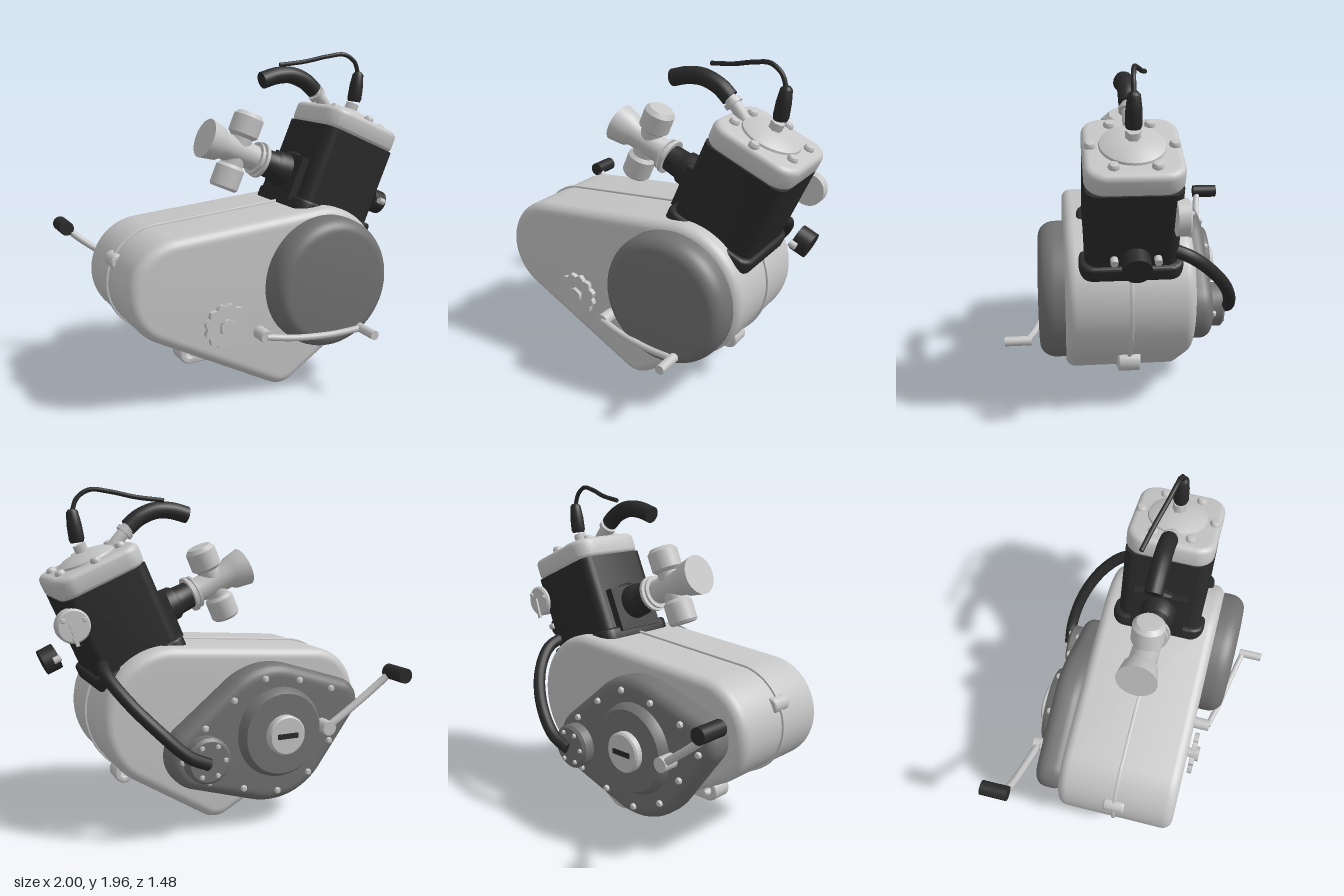
import * as THREE from 'three';
import { toCreasedNormals } from 'three/addons/utils/BufferGeometryUtils.js';

const mat = (name, color) => Object.assign(new THREE.MeshStandardMaterial({ color }), { name });
const V = (a) => new THREE.Vector3(...a);

// Outline wrapped around circles [x, y, r]
function hull(circles, grow = 0, n = 96) {
  const pts = [];
  for (let i = 0; i < n; i++) {
    const t = (i / n) * Math.PI * 2, c = Math.cos(t), s = Math.sin(t);
    let best = null, max = -Infinity;
    for (const k of circles) {
      const d = k[0] * c + k[1] * s + k[2];
      if (d > max) { max = d; best = k; }
    }
    const r = best[2] + grow;
    pts.push(new THREE.Vector2(best[0] + r * c, best[1] + r * s));
  }
  return pts;
}

// Slab from z0 to z1 with rounded rims
function slab(circles, z0, z1, bevel, hole) {
  const shape = new THREE.Shape(hull(circles, -bevel));
  if (hole) shape.holes.push(new THREE.Path().absarc(hole[0], hole[1], hole[2], 0, Math.PI * 2, true));
  const g = new THREE.ExtrudeGeometry(shape, {
    depth: z1 - z0 - 2 * bevel, bevelEnabled: bevel > 0, bevelSize: bevel,
    bevelThickness: bevel, bevelSegments: 6, curveSegments: 20,
  });
  g.translate(0, 0, z0 + bevel);
  return toCreasedNormals(g, 0.6);
}

// Turned part; profile is [radius, height] from bottom to top
const turned = (profile, sides = 40) =>
  toCreasedNormals(new THREE.LatheGeometry(profile.map((p) => new THREE.Vector2(...p)), sides), 0.6);
const rod = (r, y0, y1, sides = 32) => new THREE.CylinderGeometry(r, r, y1 - y0, sides).translate(0, (y0 + y1) / 2, 0);
const dome = (r) => turned([[r, 0], [r, r * 0.5], [r * 0.75, r * 0.95], [0, r * 1.15]], 16);
const tube = (pts, r, n = 40) => {
  const curve = new THREE.CatmullRomCurve3(pts.map(V));
  return new THREE.TubeGeometry(curve, n, r, 14);
};
const square = (w, d, r) => [-1, 1].flatMap((i) => [-1, 1].map((j) => [i * (w - r), j * (d - r), r]));

export function createModel() {
  const light = mat('light metal', 0xc6c6c6);
  const grey = mat('dark cover grey', 0x727272);
  const black = mat('black', 0x2a2a2a);
  const root = new THREE.Group();
  root.name = 'engine';
  const add = (parent, name, geo, m, pos = [0, 0, 0]) => {
    const mesh = new THREE.Mesh(geo, m);
    mesh.name = name;
    mesh.position.set(...pos);
    parent.add(mesh);
    return mesh;
  };
  const front = (g) => g.rotateX(Math.PI / 2);
  const back = (g) => g.rotateX(-Math.PI / 2);
  // Tube with closed ends
  const pipe = (parent, name, pts, r, m) => {
    add(parent, name, tube(pts, r), m);
    for (const [a, b] of [[pts[0], pts[1]], [pts.at(-1), pts.at(-2)]]) {
      const end = add(parent, name + 'End', new THREE.CircleGeometry(r, 14), m, a);
      end.lookAt(V(a).multiplyScalar(2).sub(V(b)));
    }
  };

  // Crankcase, centre seam, drain plug and mounting lugs
  const caseCircles = [[-0.6, 0.7, 0.305], [0.31, 0.665, 0.41], [0.03, 0.17, 0.14]];
  const mid = 0.035;
  add(root, 'crankcase', slab(caseCircles, -0.32, 0.39, 0.06), light);
  add(root, 'crankcaseSeam', slab(caseCircles.map(([x, y, r]) => [x, y, r + 0.012]), mid - 0.01, mid + 0.01, 0.004), light);
  add(root, 'drainPlug', rod(0.03, 0, 0.06, 6), light, [0.025, 0, 0.04]);
  const lugs = [[-0.435, 0.21, 0.065, -0.3, 0.2], [0.51, 0.28, 0.06, 0.45, 0.36], [-0.855, 0.835, 0.045, -0.78, 0.78]];
  for (const [x, y, r, x2, y2] of lugs)
    add(root, 'mountingLug', slab([[x, y, r], [x2, y2, r * 0.8]], mid - 0.063, mid + 0.063, 0.01, [x, y, r * 0.5]), light);

  // Front cover
  const coverArc = [[0.39, 0], [0.39, 0.05]];
  for (let i = 1; i <= 8; i++) {
    const t = (i / 8) * Math.PI / 2;
    coverArc.push([0.31 + 0.08 * Math.cos(t), 0.05 + 0.095 * Math.sin(t)]);
  }
  add(root, 'frontCover', front(turned([...coverArc, [0, 0.152]], 64)), grey, [0.3, 0.65, 0.39]);

  // Drive sprocket
  const teeth = [];
  for (let i = 0; i < 48; i++) {
    const t = (i / 48) * Math.PI * 2, r = [0.116, 0.126, 0.134, 0.126][i % 4];
    teeth.push(new THREE.Vector2(r * Math.cos(t), r * Math.sin(t)));
  }
  const at = [-0.36, 0.485, 0];
  add(root, 'sprocket', new THREE.ExtrudeGeometry(new THREE.Shape(teeth), { depth: 0.03, bevelEnabled: false }).translate(0, 0, 0.41), light, at);
  add(root, 'sprocketShaft', front(rod(0.03, 0.37, 0.42)), light, at);
  add(root, 'sprocketNut', front(rod(0.05, 0.43, 0.463, 6)), light, at);

  // Gear lever
  add(root, 'gearLeverHub', front(rod(0.038, 0.38, 0.49)), light, [-0.13, 0.395, 0]);
  pipe(root, 'gearLever', [[-0.13, 0.395, 0.48], [0.03, 0.375, 0.52], [0.25, 0.37, 0.565], [0.43, 0.39, 0.605]], 0.019, light);
  add(root, 'gearLeverPeg', front(rod(0.027, 0.585, 0.735)), light, [0.435, 0.388, 0]);

  // Rear cover with its rim bolts
  const rearCircles = [[-0.25, 0.555, 0.41], [0.19, 0.47, 0.2], [-0.69, 0.7, 0.14]];
  add(root, 'rearCover', slab(rearCircles, -0.485, -0.3, 0.07), grey);
  const rim = new THREE.Path(hull(rearCircles, -0.07)).getSpacedPoints(12);
  for (const p of rim.slice(1)) add(root, 'rearCoverBolt', back(dome(0.019)), light, [p.x, p.y, -0.484]);
  add(root, 'rearDisc', back(turned([[0.265, 0], [0.26, 0.02], [0.235, 0.055], [0, 0.058]], 56)), grey, [-0.28, 0.57, -0.484]);
  add(root, 'inspectionCap', back(turned([[0.115, 0], [0.115, 0.04], [0.105, 0.05], [0, 0.05]])), light, [-0.28, 0.57, -0.536]);
  add(root, 'capSlot', new THREE.BoxGeometry(0.13, 0.03, 0.006), black, [-0.28, 0.57, -0.588]);
  add(root, 'pumpCap', back(turned([[0.132, 0], [0.132, 0.06], [0.115, 0.075], [0, 0.075]])), grey, [0.19, 0.47, -0.484]);
  for (let i = 0; i < 6; i++) {
    const t = (i / 6) * Math.PI * 2;
    add(root, 'pumpCapBolt', back(dome(0.014)), light, [0.19 + 0.095 * Math.cos(t), 0.47 + 0.095 * Math.sin(t), -0.558]);
  }

  // Kick lever
  add(root, 'kickHub', back(rod(0.042, 0.47, 0.58)), light, [-0.56, 0.58, 0]);
  pipe(root, 'kickLever', [[-0.56, 0.58, -0.55], [-0.74, 0.71, -0.572], [-0.88, 0.82, -0.59], [-0.955, 0.89, -0.61]], 0.022, light);
  add(root, 'kickHandle', back(rod(0.044, 0.58, 0.745)), black, [-0.956, 0.89, 0]);

  // Coolant hose from cylinder to pump cap
  pipe(root, 'lowerHose', [[0.67, 1, -0.15], [0.69, 0.95, -0.28], [0.62, 0.83, -0.42], [0.48, 0.67, -0.53], [0.32, 0.52, -0.575], [0.2, 0.46, -0.565]], 0.036, black);

  // Tilted cylinder: local y is the bore axis, y = 0 the head joint
  const top = new THREE.Group();
  top.name = 'topEnd';
  top.position.set(0.65, 1.44, mid);
  top.rotation.z = -0.41;
  root.add(top);
  add(top, 'cylinder', back(slab(square(0.26, 0.25, 0.07), -0.6, 0, 0)), black);
  add(top, 'cylinderFlange', back(slab(square(0.287, 0.28, 0.08), -0.55, -0.46, 0.02)), black);
  add(top, 'cylinderHead', back(slab(square(0.268, 0.255, 0.11), -0.005, 0.125, 0.035)), light);
  add(top, 'headDome', turned([[0.175, 0], [0.17, 0.015], [0.13, 0.035], [0.06, 0.05], [0, 0.052]]), light, [0, 0.122, 0]);
  for (let i = 0; i < 6; i++) {
    const t = (i + 0.5) * Math.PI / 3;
    add(top, 'headBolt', dome(0.03), light, [0.215 * Math.cos(t), 0.12, 0.215 * Math.sin(t)]);
  }
  add(top, 'sparkPlugBase', rod(0.04, 0.16, 0.215, 6), light);

  // Carburettor and its rubber boot
  const along = (g) => g.rotateZ(Math.PI / 2);
  const axis = [0, -0.335, 0];
  add(top, 'intakeBoot', along(turned([[0.13, 0.24], [0.13, 0.29], [0.105, 0.31], [0.1, 0.38], [0.085, 0.4], [0.08, 0.5]])), black, axis);
  add(top, 'intakeBlock', new THREE.BoxGeometry(0.08, 0.27, 0.32), black, [-0.27, -0.36, 0]);
  add(top, 'carburettorClamp', along(turned([[0, 0.485], [0.108, 0.485], [0.108, 0.505], [0.085, 0.505], [0.085, 0.52], [0.1, 0.52], [0.1, 0.535], [0, 0.535]])), light, axis);
  add(top, 'carburettorBody', along(turned([[0.075, 0.5], [0.08, 0.76], [0.1, 0.79], [0.117, 0.885], [0, 0.885]])), light, axis);
  add(top, 'carburettorSlide', turned([[0, -0.57], [0.075, -0.57], [0.087, -0.555], [0.087, -0.44], [0.068, -0.42], [0.068, -0.25], [0.092, -0.23], [0.092, -0.125], [0.07, -0.1], [0, -0.095]]), light, [-0.66, 0, 0]);

  // Exhaust stub and studs
  add(top, 'exhaustStub', along(rod(0.075, -0.475, -0.385)), black, [0, -0.298, 0]);
  for (const s of [-1, 1])
    add(top, 'exhaustStud', along(rod(0.02, -0.425, -0.385, 12)), light, [0, -0.29, s * 0.11]);

  // Valve housing on the cylinder's rear corner
  add(root, 'valveHousing', back(turned([[0, 0], [0.095, 0], [0.095, 0.06], [0.085, 0.07], [0, 0.07]])), light, [0.845, 1.215, -0.17]);
  for (let i = 0; i < 3; i++) {
    const t = 0.5 + (i / 3) * Math.PI * 2;
    add(root, 'valveBolt', back(dome(0.014)), light, [0.845 + 0.07 * Math.cos(t), 1.215 + 0.07 * Math.sin(t), -0.238]);
  }
  add(root, 'valveLever', new THREE.BoxGeometry(0.02, 0.13, 0.015), light, [0.845, 1.17, -0.245]).rotation.z = -0.3;

  // Spark plug boot and lead
  const boot = add(root, 'sparkPlugBoot', turned([[0, 0], [0.038, 0], [0.044, 0.02], [0.042, 0.1], [0.033, 0.17], [0.02, 0.185], [0, 0.185]], 20), black, [0.745, 1.65, mid]);
  boot.rotation.z = -0.15;
  pipe(root, 'sparkPlugLead', [[0.77, 1.82, mid], [0.74, 1.895, mid], [0.67, 1.94, 0.025], [0.56, 1.93, 0], [0.42, 1.9, -0.04], [0.265, 1.882, -0.075]], 0.013, black);

  // Upper coolant outlet and hose
  pipe(root, 'outletPipe', [[0.57, 1.57, mid], [0.52, 1.645, mid], [0.43, 1.745, mid]], 0.036, light);
  const ring = add(root, 'hoseClamp', rod(0.052, -0.012, 0.012), light, [0.465, 1.705, mid]);
  ring.rotation.z = 0.75;
  pipe(root, 'upperHose', [[0.08, 1.8, mid], [0.18, 1.825, mid], [0.28, 1.825, mid], [0.38, 1.785, mid], [0.445, 1.73, mid]], 0.05, black);
  return root;
}
